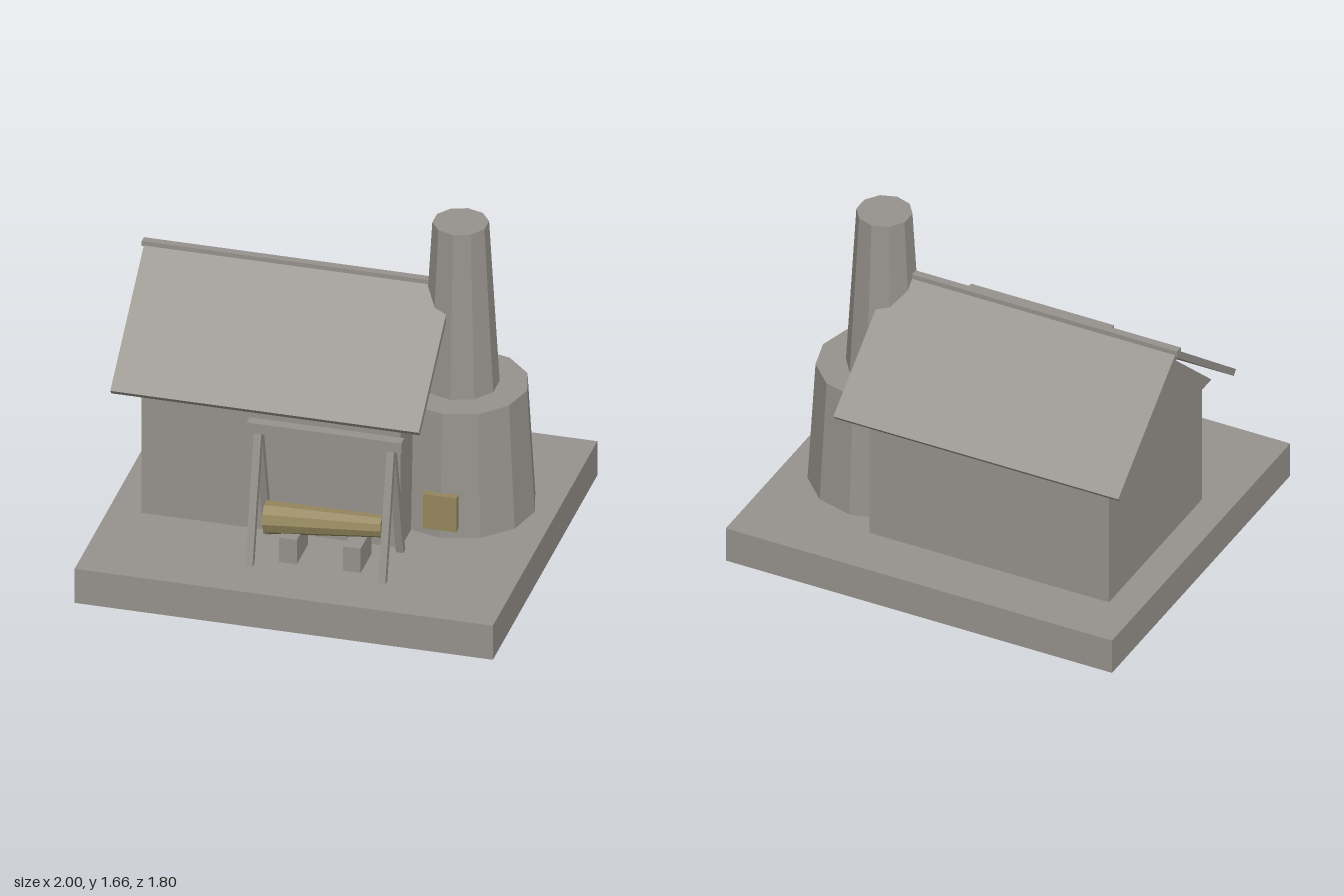
import * as THREE from 'three';

export function createModel() {
  const model = new THREE.Group();
  const stone = new THREE.MeshStandardMaterial({ color: 0x96928c, flatShading: true });
  stone.name = 'stone grey';
  const wood = new THREE.MeshStandardMaterial({ color: 0x93855c, flatShading: true });
  wood.name = 'log tan';

  const add = (name, geometry, material, x = 0, y = 0, z = 0) => {
    const mesh = new THREE.Mesh(geometry, material);
    mesh.name = name;
    mesh.position.set(x, y, z);
    model.add(mesh);
    return mesh;
  };
  // Box given by its extents on each axis
  const box = (name, material, x0, x1, y0, y1, z0, z1) =>
    add(name, new THREE.BoxGeometry(x1 - x0, y1 - y0, z1 - z0), material,
      (x0 + x1) / 2, (y0 + y1) / 2, (z0 + z1) / 2);
  // Prism with a (z, y) outline, running along x
  const prism = (name, points, x0, x1, z) => {
    const shape = new THREE.Shape(points.map(([a, b]) => new THREE.Vector2(a, b)));
    const geometry = new THREE.ExtrudeGeometry(shape, { depth: x1 - x0, bevelEnabled: false });
    geometry.rotateY(-Math.PI / 2);
    return add(name, geometry, stone, x1, 0, z);
  };

  // Ground slab and house walls
  box('base', stone, -1, 1, 0, 0.18, -0.9, 0.9);
  box('houseWalls', stone, -0.845, 0.395, 0.18, 0.85, -0.63, 0.31);

  // Thin gables at both ends, a little wider than the walls
  const gable = [[-0.5, 0.845], [0.5, 0.845], [0, 1.3]];
  prism('rightGable', gable, -0.88, -0.81, -0.162);
  prism('leftGable', gable, 0.36, 0.43, -0.162);

  // Two roof slabs and the ridge cap
  for (const s of [1, -1]) {
    prism(s > 0 ? 'frontRoof' : 'backRoof',
      [[0, 1.342], [s * 0.595, 0.872], [s * 0.573, 0.847], [0, 1.3]], -0.96, 0.515, -0.165);
  }
  box('roofRidge', stone, -0.97, 0.515, 1.325, 1.35, -0.185, -0.147);

  // Round furnace with a tapering chimney and a door
  add('furnace', new THREE.CylinderGeometry(0.318, 0.355, 0.635, 12), stone, 0.545, 0.4975, -0.185);
  add('chimney', new THREE.CylinderGeometry(0.131, 0.18, 0.85, 10), stone, 0.545, 1.235, -0.185);
  box('furnaceDoor', wood, 0.465, 0.625, 0.225, 0.405, 0.14, 0.178);

  // Trestle: two A-frames carrying a beam
  box('trestleBeam', stone, -0.285, 0.455, 0.8, 0.853, 0.463, 0.515);
  for (const x of [-0.233, 0.402]) {
    for (const s of [1, -1]) {
      const spread = 0.158, height = 0.65;
      const leg = add('trestleLeg',
        new THREE.BoxGeometry(0.035, Math.hypot(spread, height), 0.035), stone,
        x, 0.17 + height / 2, 0.49 + s * spread / 2);
      leg.rotation.x = -s * Math.atan2(spread, height);
    }
  }

  // Tapered log resting on two blocks
  const log = add('log', new THREE.CylinderGeometry(0.053, 0.079, 0.56, 10), wood, 0.083, 0.371, 0.49);
  log.rotation.z = -Math.PI / 2 + 0.062;
  box('logBlock', stone, -0.11, -0.025, 0.18, 0.308, 0.396, 0.585);
  box('logBlock', stone, 0.197, 0.28, 0.18, 0.308, 0.396, 0.585);

  return model;
}
